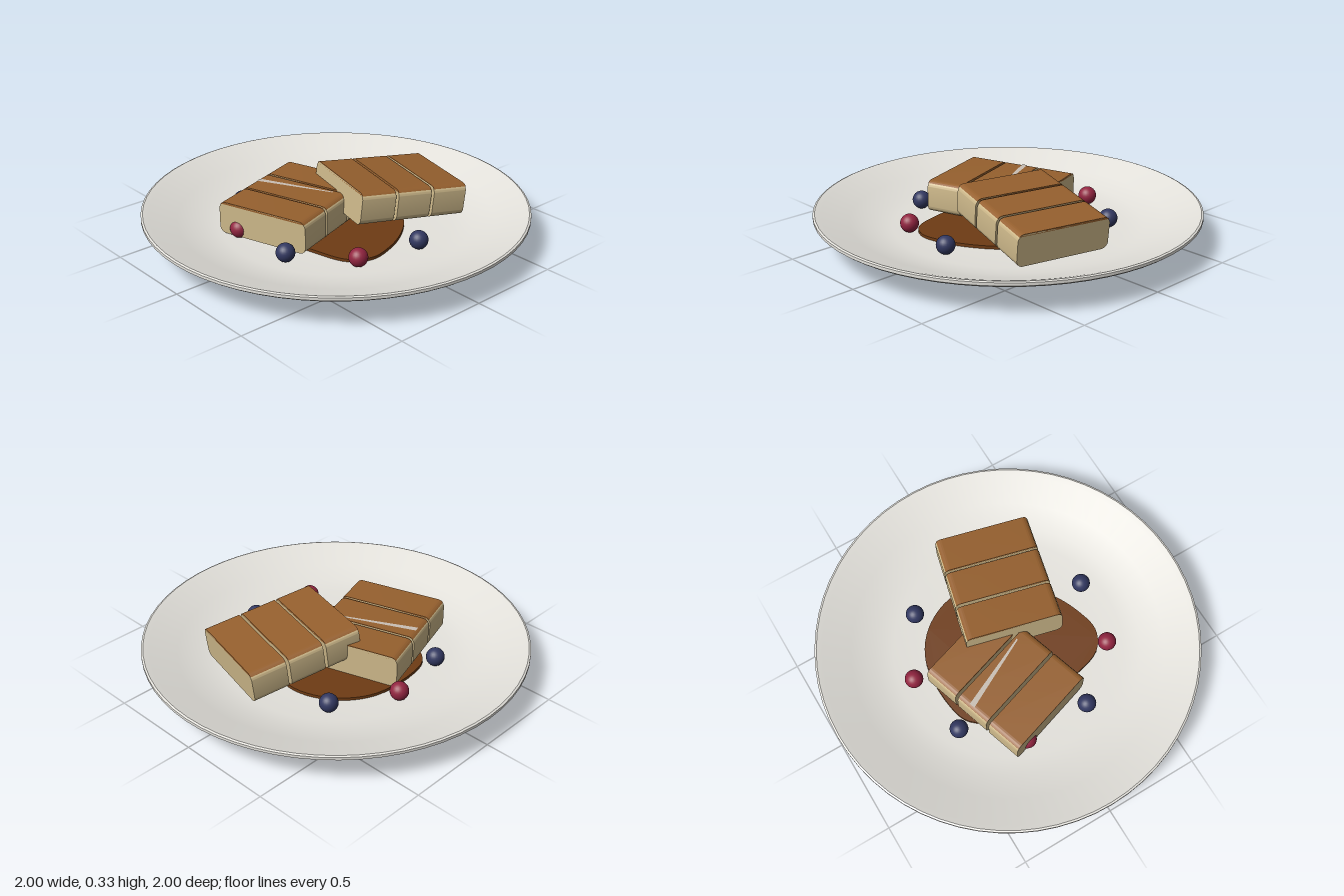
import * as THREE from 'three';
import { toCreasedNormals } from 'three/addons/utils/BufferGeometryUtils.js';

const paint = (color) => new THREE.MeshStandardMaterial({ color });
const MAT = {
  plate: paint(0xe4e2dc),
  sauce: paint(0x6f3c14),
  cream: paint(0xcdb88a),
  glaze: paint(0x96602e),
  shine: paint(0xc9bfb4),
  red: paint(0x922440),
  blue: paint(0x323861),
};

function part(name, geometry, material, parent) {
  const mesh = new THREE.Mesh(geometry, material);
  mesh.name = name;
  parent.add(mesh);
  return mesh;
}

// Slab dimensions: length runs along x, the rounded profile lies across z
const LENGTH = 0.61, DEPTH = 0.51, HEIGHT = 0.17, RADIUS = 0.035, GAP = 0.016, COAT = 0.003;

function extrudeAlongX(shape, length) {
  const g = new THREE.ExtrudeGeometry(shape, { depth: length, bevelEnabled: false, curveSegments: 8 });
  g.translate(0, 0, -length / 2).rotateY(Math.PI / 2);
  return toCreasedNormals(g, 0.5);
}

// Rounded cross-section of the soft body
function bodyProfile() {
  const w = DEPTH / 2 - RADIUS, top = HEIGHT - COAT - RADIUS, q = Math.PI / 2;
  const s = new THREE.Shape();
  s.absarc(w, RADIUS, RADIUS, -q, 0);
  s.absarc(w, top, RADIUS, 0, q);
  s.absarc(-w, top, RADIUS, q, 2 * q);
  s.absarc(-w, RADIUS, RADIUS, 2 * q, 3 * q);
  s.closePath();
  return s;
}

// Thin coat over the top that wraps part of the rounded edges
function coatProfile() {
  const w = DEPTH / 2 - RADIUS, y = HEIGHT - COAT - RADIUS, start = 0.75;
  const s = new THREE.Shape();
  s.absarc(w, y, RADIUS + COAT, start, Math.PI / 2);
  s.absarc(-w, y, RADIUS + COAT, Math.PI / 2, Math.PI - start);
  s.closePath();
  return s;
}

// One slab cut into three slices, with its underside at local y = 0
function makeSlab(name) {
  const slab = new THREE.Group();
  slab.name = name;
  const slice = (LENGTH - 2 * GAP) / 3;
  const body = extrudeAlongX(bodyProfile(), slice);
  const coat = extrudeAlongX(coatProfile(), slice);
  for (let i = -1; i <= 1; i++) {
    const x = i * (slice + GAP);
    part('sliceBody', body, MAT.cream, slab).position.x = x;
    part('sliceGlaze', coat, MAT.glaze, slab).position.x = x;
  }
  return slab;
}

export function createModel() {
  const model = new THREE.Group();
  model.name = 'platedDessert';

  // Plate: underside, foot, flared wall, rim and shallow dish
  const profile = [
    [0, 0], [0.65, 0], [0.665, 0.008], [0.7, 0.046], [0.8, 0.083], [0.985, 0.144], [1, 0.155],
    [1, 0.17], [0.99, 0.174], [0.96, 0.165], [0.82, 0.115], [0.7, 0.08], [0.6, 0.067], [0.4, 0.062], [0, 0.06],
  ].map(([r, y]) => new THREE.Vector2(r, y));
  part('plate', toCreasedNormals(new THREE.LatheGeometry(profile, 64), 0.5), MAT.plate, model);

  // Sauce pool
  const outline = [
    [-0.13, -0.425], [0.14, -0.415], [0.3, -0.31], [0.39, -0.13], [0.37, 0.06], [0.25, 0.25], [0.12, 0.355],
    [-0.02, 0.42], [-0.155, 0.445], [-0.26, 0.385], [-0.32, 0.2], [-0.35, 0], [-0.34, -0.2], [-0.25, -0.38],
  ].map(([x, z]) => new THREE.Vector3(x, z, 0));
  const loop = new THREE.CatmullRomCurve3(outline, true).getPoints(70).slice(0, -1);
  const pool = new THREE.ExtrudeGeometry(
    new THREE.Shape(loop.map((p) => new THREE.Vector2(p.x, p.y))),
    { depth: 0.02, bevelEnabled: false });
  pool.rotateX(Math.PI / 2);
  part('sauce', toCreasedNormals(pool, 0.6), MAT.sauce, model).position.y = 0.078;

  // Flat slab lying on the sauce
  const lower = makeSlab('lowerSlab');
  lower.position.set(-0.175, 0.08, -0.12);
  lower.rotation.y = 0.307;
  model.add(lower);

  // Tapered gloss streak on its middle slice
  const streak = new THREE.Shape();
  streak.moveTo(0.0, 0.235);
  streak.lineTo(0.03, 0.235);
  streak.lineTo(0.083, -0.18);
  streak.lineTo(0.075, -0.18);
  const gloss = new THREE.ShapeGeometry(streak).rotateX(-Math.PI / 2);
  const shine = MAT.shine.clone();
  shine.side = THREE.DoubleSide;
  part('glossStreak', gloss, shine, lower).position.y = HEIGHT + 0.001;

  // Tilted slab leaning on the first
  const upper = makeSlab('upperSlab');
  upper.position.set(0.27, 0.126, 0.105);
  upper.rotation.set(0, -0.25, -0.11);
  model.add(upper);

  // Berries around the sauce
  const berry = new THREE.SphereGeometry(0.048, 24, 16);
  const berries = {
    red: [[0.085, -0.515], [-0.49, -0.18], [-0.255, 0.45]],
    blue: [[-0.265, -0.45], [0.395, -0.335], [-0.485, 0.18], [0.095, 0.51]],
  };
  for (const [color, spots] of Object.entries(berries)) {
    for (const [x, z] of spots) part(color + 'Berry', berry, MAT[color], model).position.set(x, 0.114, z);
  }
  return model;
}
